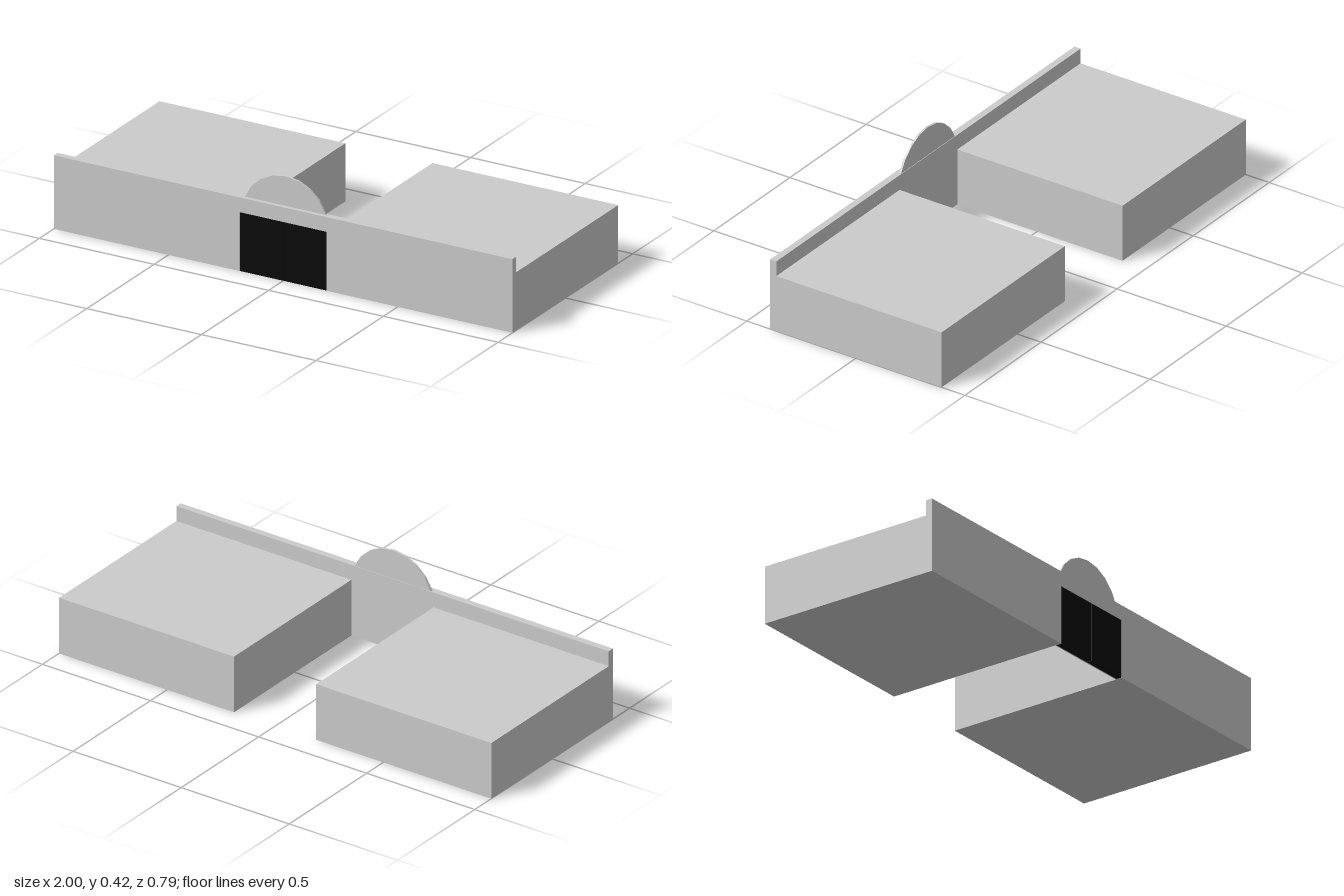
import * as THREE from 'three';

export function createModel() {
  const group = new THREE.Group();
  const grey = new THREE.MeshStandardMaterial({ color: 0xcccccc, flatShading: true });
  const black = new THREE.MeshStandardMaterial({ color: 0x0a0a0a, flatShading: true });

  const add = (name, geometry, material = grey) => {
    const mesh = new THREE.Mesh(geometry, material);
    mesh.name = name;
    group.add(mesh);
  };
  // Box given by its minimum and maximum corners
  const box = (x0, x1, y0, y1, z0, z1) =>
    new THREE.BoxGeometry(x1 - x0, y1 - y0, z1 - z0)
      .translate((x0 + x1) / 2, (y0 + y1) / 2, (z0 + z1) / 2);
  // Outline extruded forward from z0 to z1
  const slab = (points, z0, z1) =>
    new THREE.ExtrudeGeometry(new THREE.Shape(points.map(([x, y]) => new THREE.Vector2(x, y))),
      { depth: z1 - z0, bevelEnabled: false }).translate(0, 0, z0);

  const front = 0.393, wallBack = 0.365, gap = 0.19, doorTop = 0.24;

  // Front wall with a doorway, closed by a thin panel behind the doors
  add('frontWall', slab([
    [-1, 0], [-gap, 0], [-gap, doorTop], [gap, doorTop], [gap, 0], [1, 0], [1, 0.3], [-1, 0.3],
  ], wallBack, front));
  add('doorBacking', box(-gap, gap, 0, doorTop, wallBack, 0.37));

  // Wings and door leaves
  for (const [side, s] of [['left', 1], ['right', -1]]) {
    const mirrored = (a, b, ...rest) => box(Math.min(s * a, s * b), Math.max(s * a, s * b), ...rest);
    add(side + 'Wing', mirrored(gap, 1, 0, 0.237, -front, wallBack));
    add(side + 'Door', mirrored(0.001, gap - 0.002, 0, doorTop - 0.002, 0.37, front - 0.001), black);
  }

  // Faceted arched crest standing on the wall
  const arc = [];
  const start = Math.asin(0.07 / 0.19);
  for (let i = 0; i <= 8; i++) {
    const a = start + (Math.PI - 2 * start) * i / 8;
    arc.push([0.19 * Math.cos(a), 0.23 + 0.19 * Math.sin(a)]);
  }
  add('archedCrest', slab(arc, 0.367, 0.376));

  return group;
}
